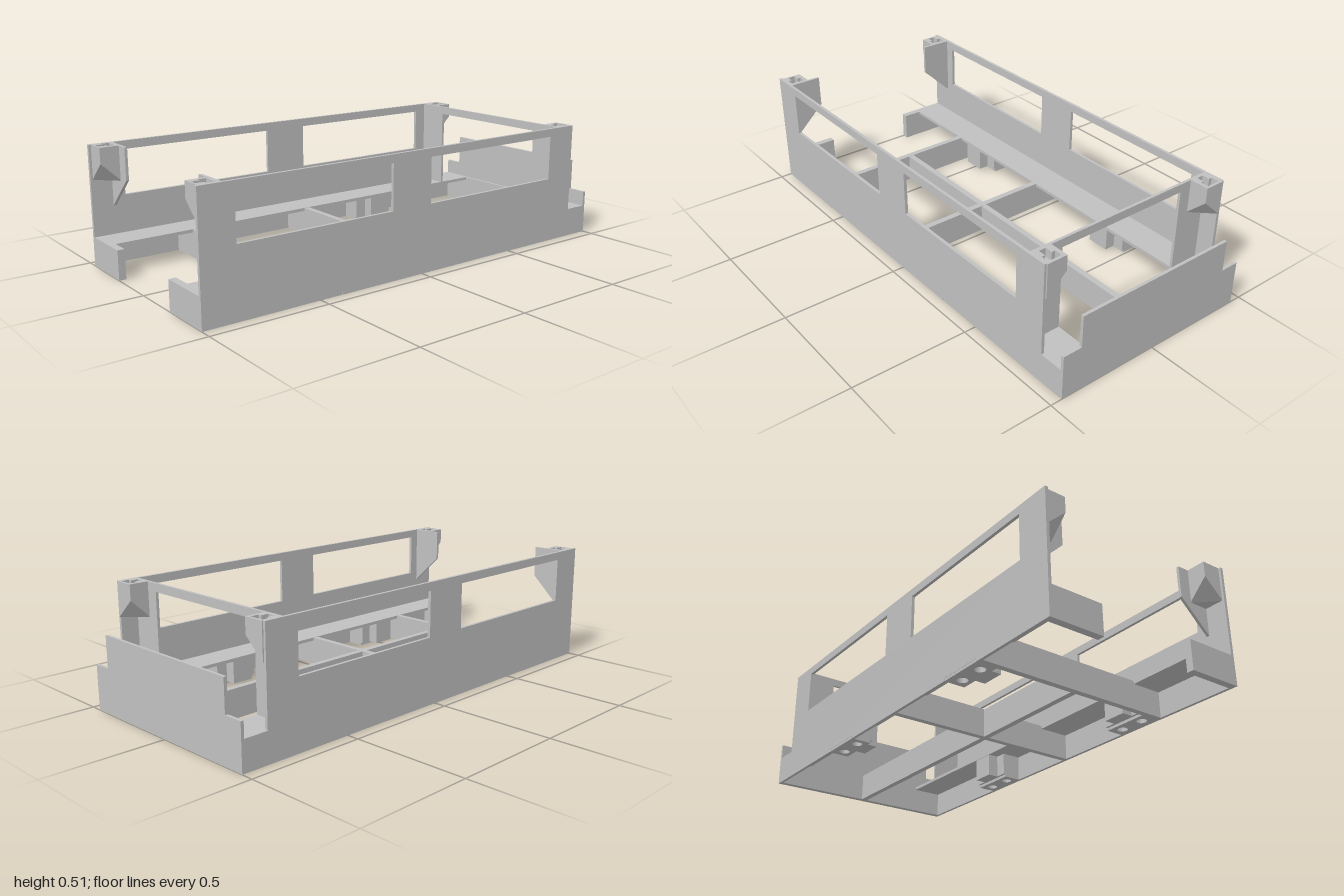
import * as THREE from 'three';
import { ConvexGeometry } from 'three/addons/geometries/ConvexGeometry.js';

const grey = new THREE.MeshStandardMaterial({ color: 0xc0c0c0 });
grey.name = 'light grey';

const H = 0.51, W = 0.45, T = 0.013, DECK = 0.125;

export function createModel() {
  const model = new THREE.Group();
  model.name = 'chassis';

  const add = (name, geometry) => {
    const mesh = new THREE.Mesh(geometry, grey);
    mesh.name = name;
    model.add(mesh);
  };
  const box = (name, x0, x1, y0, y1, z0, z1) => {
    const g = new THREE.BoxGeometry(Math.abs(x1 - x0), y1 - y0, z1 - z0);
    add(name, g.translate((x0 + x1) / 2, (y0 + y1) / 2, (z0 + z1) / 2));
  };
  const outline = (pts, holes = []) => {
    const shape = new THREE.Shape(pts.map(p => new THREE.Vector2(...p)));
    shape.holes = holes;
    return shape;
  };
  const path = pts => new THREE.Path(pts.map(p => new THREE.Vector2(...p)));
  const rect = (a0, a1, b0, b1) => path([[a0, b0], [a0, b1], [a1, b1], [a1, b0]]);
  const extrude = (shape, depth) =>
    new THREE.ExtrudeGeometry(shape, { depth, bevelEnabled: false, curveSegments: 16 });
  // plan shape (x, z), extruded down from y = top
  const slab = (name, shape, y0, y1) =>
    add(name, extrude(shape, y1 - y0).rotateX(Math.PI / 2).translate(0, y1, 0));
  // upright shape (x, y), extruded from z0 to z1
  const panel = (name, shape, z0, z1) =>
    add(name, extrude(shape, z1 - z0).translate(0, 0, z0));

  for (const s of [1, -1]) {
    // Long side wall with two windows and notches for the mounting pads
    const wall = outline([
      [1, 0], [1, H], [-0.885, H], [-0.885, DECK], [-1, DECK], [-1, 0],
      [-0.49, 0], [-0.49, 0.012], [-0.29, 0.012], [-0.29, 0],
      [0.4, 0], [0.4, 0.012], [0.6, 0.012], [0.6, 0],
    ], [rect(0.155, 0.855, 0.285, 0.475), rect(-0.74, -0.04, 0.285, 0.475)]);
    add('sideWall', extrude(wall, T).rotateY(-Math.PI / 2).translate(s > 0 ? W : -W + T, 0, 0));

    // Deck ledge and front return
    box('deckLedge', s * 0.3, s * 0.438, DECK - 0.014, DECK, -0.986, 0.99);
    box('frontReturn', s * 0.215, s * 0.449, 0, DECK, 0.97, 1);

    // Under-deck mounts with two screw holes each
    for (const z of [0.5, -0.39]) {
      const holes = [-0.055, 0.055].map(d =>
        new THREE.Path().absarc(s * 0.4, z + d, 0.022, 0, Math.PI * 2));
      slab('mountPad', outline(
        [[s * 0.36, z - 0.1], [s * 0.449, z - 0.1], [s * 0.449, z + 0.1], [s * 0.36, z + 0.1]],
        holes), 0, 0.012);
      slab('mountBlock', outline(
        [[s * 0.35, z - 0.1], [s * 0.438, z - 0.1], [s * 0.438, z + 0.1], [s * 0.35, z + 0.1]],
        holes), 0.012, DECK - 0.014);
      box('mountRib', s * 0.302, s * 0.35, 0.012, DECK - 0.014, z - 0.05, z + 0.05);
    }

    // Corner gusset at the front
    panel('frontGusset', outline([
      [s * 0.3, H], [s * 0.438, H], [s * 0.438, 0.245], [s * 0.3, 0.375],
    ]), 0.897, 0.909);

    // Screw bosses at the four top corners: T-slot cap over a sloping corbel
    for (const [near, far] of [[0.905, 0.99], [-0.805, -0.89]]) {
      const a = s * 0.352, b = s * 0.44, c = s * 0.398, mid = 0.475;
      const z0 = Math.min(near, far), z1 = Math.max(near, far);
      const slot = path([
        [c - 0.03, z0 + 0.012], [c + 0.03, z0 + 0.012], [c + 0.03, z0 + 0.045],
        [c + 0.015, z0 + 0.045], [c + 0.015, z1 - 0.008], [c - 0.015, z1 - 0.008],
        [c - 0.015, z0 + 0.045], [c - 0.03, z0 + 0.045],
      ]);
      slab('bossCap', outline([[a, z0], [b, z0], [b, z1], [a, z1]], [slot]), mid, H);
      add('bossCorbel', new ConvexGeometry([
        [a, mid, near], [b, mid, near], [b, mid, far], [a, mid, far],
        [a, 0.365, near], [b, 0.365, near], [b, 0.365, far], [a, 0.445, far],
      ].map(p => new THREE.Vector3(...p))));
    }
  }

  // Cross beams and centre spine
  box('frontCrossBeam', -0.438, 0.438, 0, DECK - 0.001, 0.598, 0.624);
  box('middleCrossBeam', -0.438, 0.438, 0, DECK - 0.001, 0.025, 0.051);
  box('centreSpine', -0.013, 0.013, 0, DECK - 0.002, -0.98, 0.6);

  // Rear wall: raised centre with low shoulders
  panel('rearWall', outline([
    [-W, 0], [W, 0], [W, 0.19], [0.367, 0.19], [0.367, 0.325],
    [-0.367, 0.325], [-0.367, 0.19], [-W, 0.19],
  ]), -1, -0.987);
  box('rearSill', -0.438, 0.438, 0, DECK - 0.001, -0.987, -0.975);

  // Rear bulkhead: two posts joined by a top bar
  panel('rearBulkhead', outline([
    [-0.438, DECK], [-0.3, DECK], [-0.3, 0.475], [0.3, 0.475], [0.3, DECK],
    [0.438, DECK], [0.438, H], [-0.438, H],
  ]), -0.808, -0.796);

  return model;
}
